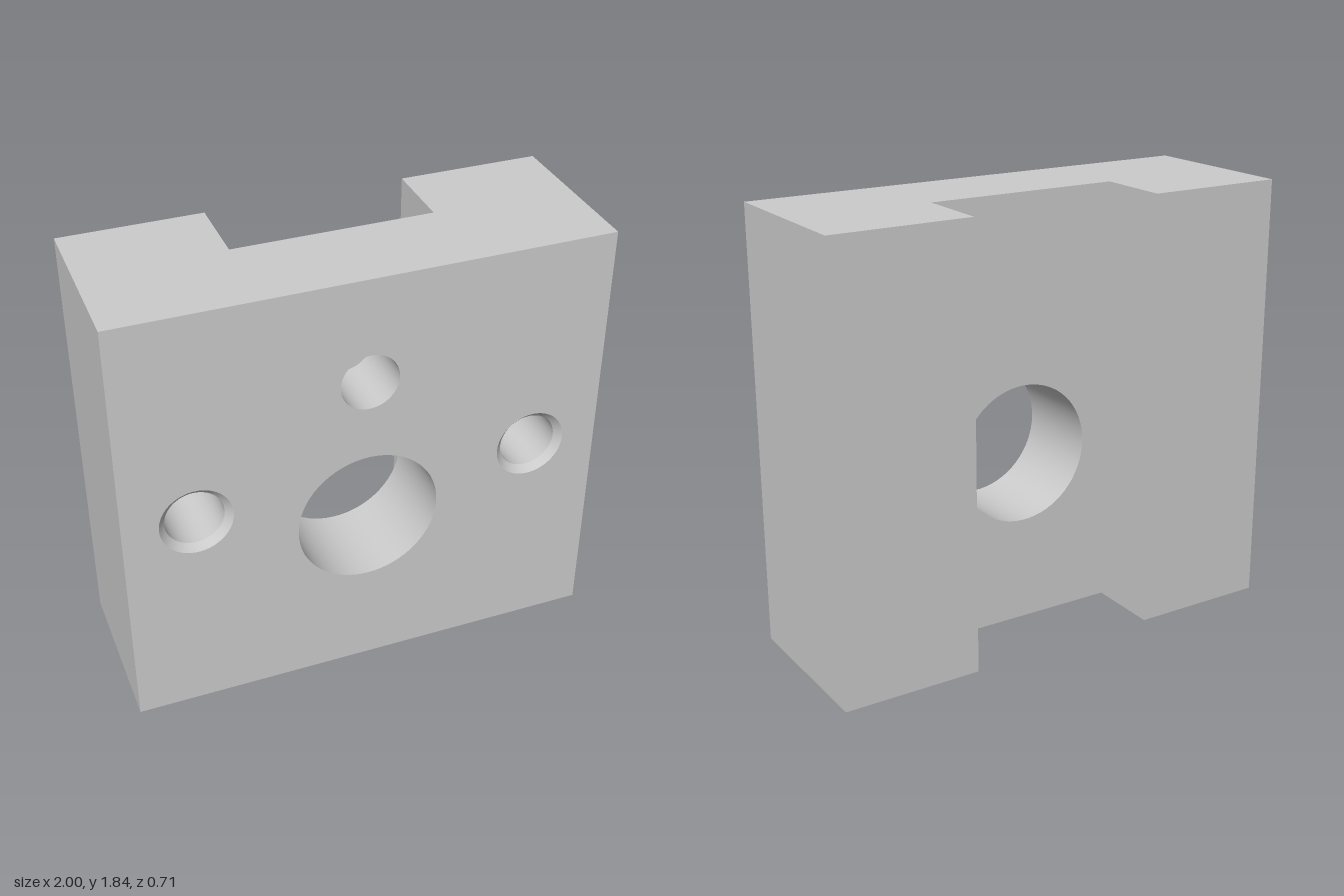
import * as THREE from 'three';
import { toCreasedNormals } from 'three/addons/utils/BufferGeometryUtils.js';

const H = 1.837, F = 0.353, B = -0.353, S = -0.038, SLOT = 0.413;
const SEG = 64;

export function createModel() {
  const group = new THREE.Group();
  const mat = new THREE.MeshStandardMaterial({ color: 0xcccccc, side: THREE.DoubleSide });
  const add = (name, geometry) => {
    const mesh = new THREE.Mesh(geometry, mat);
    mesh.name = name;
    group.add(mesh);
    return mesh;
  };

  // Each bore: centre and a (radius, depth) profile running from the rim inward
  const chamfered = [[0.148, 0], [0.12, 0.028], [0.12, 0.45], [0, 0.45]];
  const bores = [
    { name: 'centreBore', x: 0, y: 0.745, profile: [[0.297, 0], [0.297, F - S]] },
    { name: 'upperBlindHole', x: 0, y: 1.392, profile: [[0.12, 0], [0.12, 0.28], [0, 0.28]] },
    { name: 'leftScrewHole', x: 0.706, y: 0.922, profile: chamfered },
    { name: 'rightScrewHole', x: -0.706, y: 0.922, profile: chamfered },
  ];

  // Flat face of the given half width, pierced by the rims of some bores
  const piercedFace = (halfWidth, holes) => {
    const shape = new THREE.Shape([[-1, 0], [1, 0], [1, H], [-1, H]]
      .map(([x, y]) => new THREE.Vector2(x * halfWidth, y)));
    for (const { x, y, profile } of holes) {
      shape.holes.push(new THREE.Path().absarc(x, y, profile[0][0], 0, Math.PI * 2, true));
    }
    return new THREE.ShapeGeometry(shape, SEG / 2);
  };
  add('frontFace', piercedFace(1, bores)).position.z = F;
  const slotFace = add('slotFace', piercedFace(SLOT, [bores[0]]));
  slotFace.rotation.y = Math.PI;
  slotFace.position.z = S;

  // Bore walls and floors
  for (const { name, x, y, profile } of bores) {
    const lathe = new THREE.LatheGeometry(profile.map(([r, d]) => new THREE.Vector2(r, -d)), SEG);
    lathe.rotateX(Math.PI / 2);
    add(name, toCreasedNormals(lathe, 0.5)).position.set(x, y, F);
  }

  // Upright walls between consecutive corners of the U-shaped plan
  const plan = [[-1, F], [1, F], [1, B], [SLOT, B], [SLOT, S], [-SLOT, S], [-SLOT, B], [-1, B]];
  const walls = { leftSide: 1, leftRailBack: 2, leftSlotWall: 3, rightSlotWall: 5, rightRailBack: 6, rightSide: 7 };
  for (const [name, i] of Object.entries(walls)) {
    const [ax, az] = plan[i], [bx, bz] = plan[(i + 1) % plan.length];
    const wall = add(name, new THREE.PlaneGeometry(Math.hypot(bx - ax, bz - az), H));
    wall.rotation.y = Math.atan2(az - bz, bx - ax);
    wall.position.set((ax + bx) / 2, H / 2, (az + bz) / 2);
  }

  // Top and bottom caps
  const cap = (sign) => new THREE.ShapeGeometry(
    new THREE.Shape(plan.map(([x, z]) => new THREE.Vector2(x, -sign * z)))
  ).rotateX(-sign * Math.PI / 2);
  add('topFace', cap(1)).position.y = H;
  add('bottomFace', cap(-1));

  return group;
}
